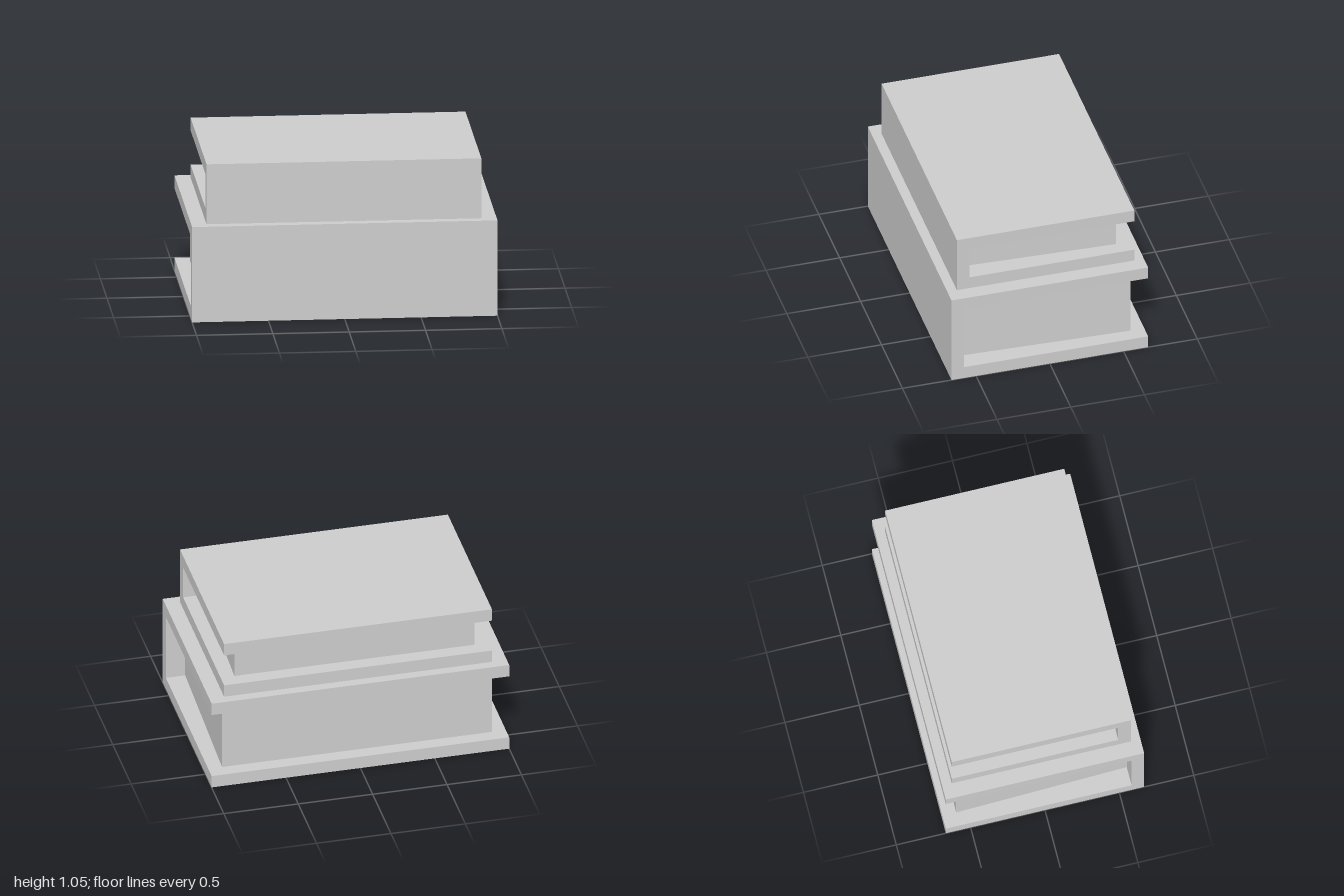
import * as THREE from 'three';

const material = new THREE.MeshStandardMaterial({ color: 0xcccccc, flatShading: true });

const shapeOf = (points) => new THREE.Shape(points.map(([x, y]) => new THREE.Vector2(x, y)));
const extrude = (points, depth) =>
  new THREE.ExtrudeGeometry(shapeOf(points), { depth, bevelEnabled: false });

// One closed book lying flat, spine towards +z
function makeBook(name, { halfWidth, halfDepth, bottom, top, board, spine, pageBack, backInset, spineInset }) {
  const book = new THREE.Group();
  book.name = name;
  const inner = halfDepth - spine;

  // Cover: C-shaped profile in (z, y) swept along x
  const coverGeometry = extrude([
    [halfDepth, bottom], [halfDepth, top], [-halfDepth, top], [-halfDepth, top - board],
    [inner, top - board], [inner, bottom + board], [-halfDepth, bottom + board], [-halfDepth, bottom],
  ], 2 * halfWidth);
  coverGeometry.rotateY(-Math.PI / 2).translate(halfWidth, 0, 0);
  const cover = new THREE.Mesh(coverGeometry, material);
  cover.name = 'cover';

  // Pages: block that narrows slightly towards the spine, outline in (x, -z)
  const back = halfWidth - backInset;
  const front = halfWidth - spineInset;
  const pagesGeometry = extrude(
    [[-front, -inner], [front, -inner], [back, -pageBack], [-back, -pageBack]],
    top - bottom - 2 * board,
  );
  pagesGeometry.rotateX(-Math.PI / 2).translate(0, bottom + board, 0);
  const pages = new THREE.Mesh(pagesGeometry, material);
  pages.name = 'pages';

  book.add(cover, pages);
  return book;
}

export function createModel() {
  const model = new THREE.Group();
  model.name = 'bookStack';
  const shared = { board: 0.087, spine: 0.085, backInset: 0.093, spineInset: 0.13 };
  model.add(
    makeBook('lowerBook', { ...shared, halfWidth: 1, halfDepth: 0.667, bottom: 0, top: 0.643, pageBack: -0.574 }),
    makeBook('upperBook', { ...shared, halfWidth: 0.9, halfDepth: 0.602, bottom: 0.643, top: 1.047, pageBack: -0.505 }),
  );
  return model;
}
